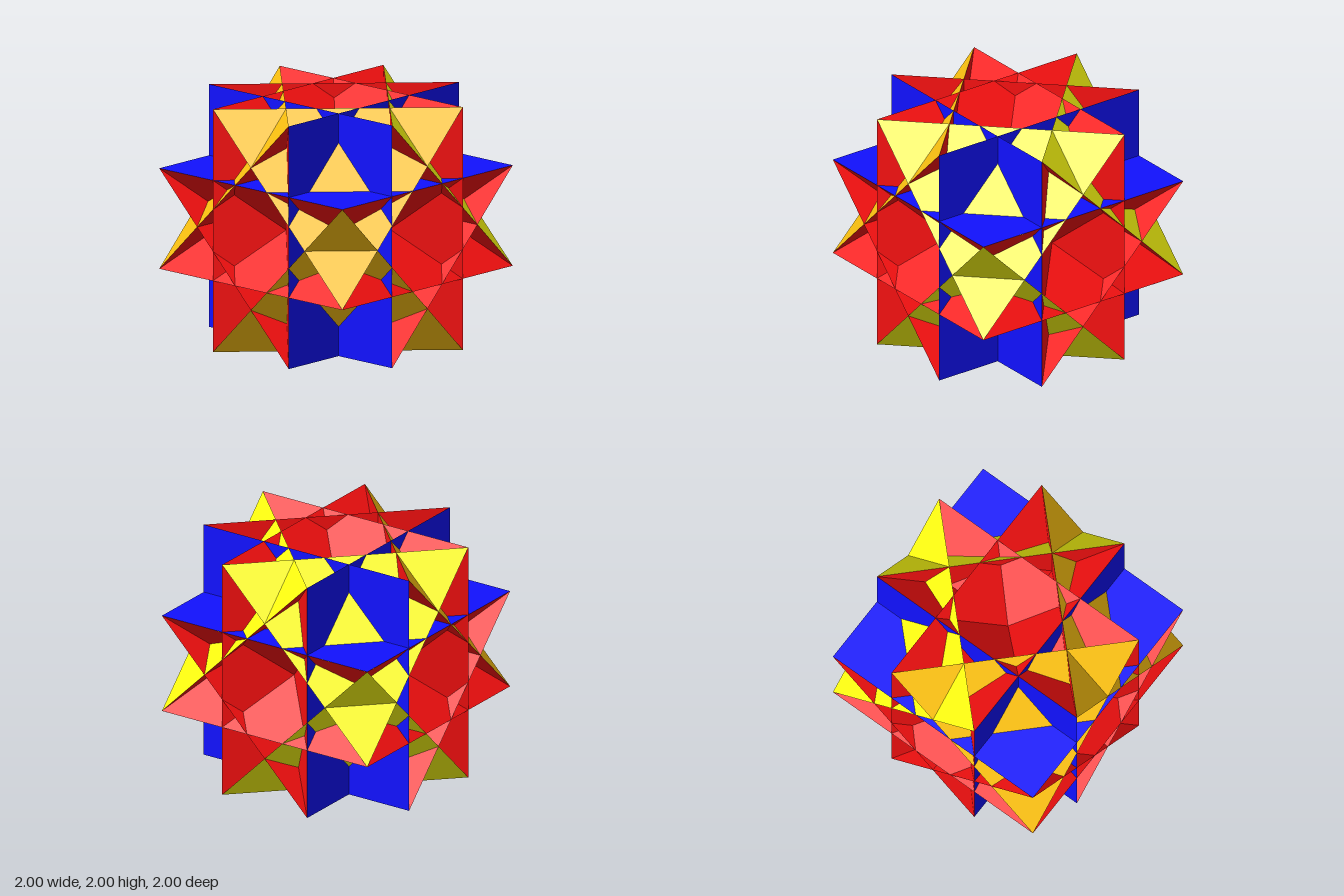
import * as THREE from 'three';

// Star polyhedron: 6 axial squares, 12 diagonal squares and 8 corner triangles, all passing through each other
const XI = Math.SQRT2 - 1;
const material = (color) =>
  new THREE.MeshStandardMaterial({ color, side: THREE.DoubleSide, flatShading: true });

export function createModel() {
  const model = new THREE.Group();
  const blue = material(0x1111ff);
  const red = material(0xff1111);
  const orange = material(0xffc411);
  const yellow = material(0xffff11);
  const square = new THREE.PlaneGeometry(2, 2);

  // One triangle in the given octant, wound to face outward
  const triangle = (x, y, z) => {
    const corners = [[x, y, -XI * z], [x, -XI * y, z], [-XI * x, y, z]];
    if (x * y * z > 0) corners.reverse();
    const geometry = new THREE.BufferGeometry();
    geometry.setAttribute('position', new THREE.Float32BufferAttribute(corners.flat(), 3));
    geometry.computeVertexNormals();
    return geometry;
  };

  const add = (name, geometry, mat) => {
    const mesh = new THREE.Mesh(geometry, mat);
    mesh.name = name;
    model.add(mesh);
    return mesh;
  };

  // Every direction with components -1, 0 or 1 carries one face
  for (const x of [-1, 0, 1]) for (const y of [-1, 0, 1]) for (const z of [-1, 0, 1]) {
    const axes = Math.abs(x) + Math.abs(y) + Math.abs(z);
    if (axes === 0) continue;
    if (axes === 3) {
      add('cornerTriangle', triangle(x, y, z), z > 0 ? orange : yellow);
      continue;
    }
    const face = axes === 1 ? add('axialSquare', square, blue) : add('diagonalSquare', square, red);
    const normal = new THREE.Vector3(x, y, z).normalize();
    face.lookAt(normal);
    face.position.copy(normal).multiplyScalar(XI);
  }

  // Stand the solid on the ground
  for (const face of model.children) face.position.y += 1;
  model.name = 'starPolyhedron';
  return model;
}
